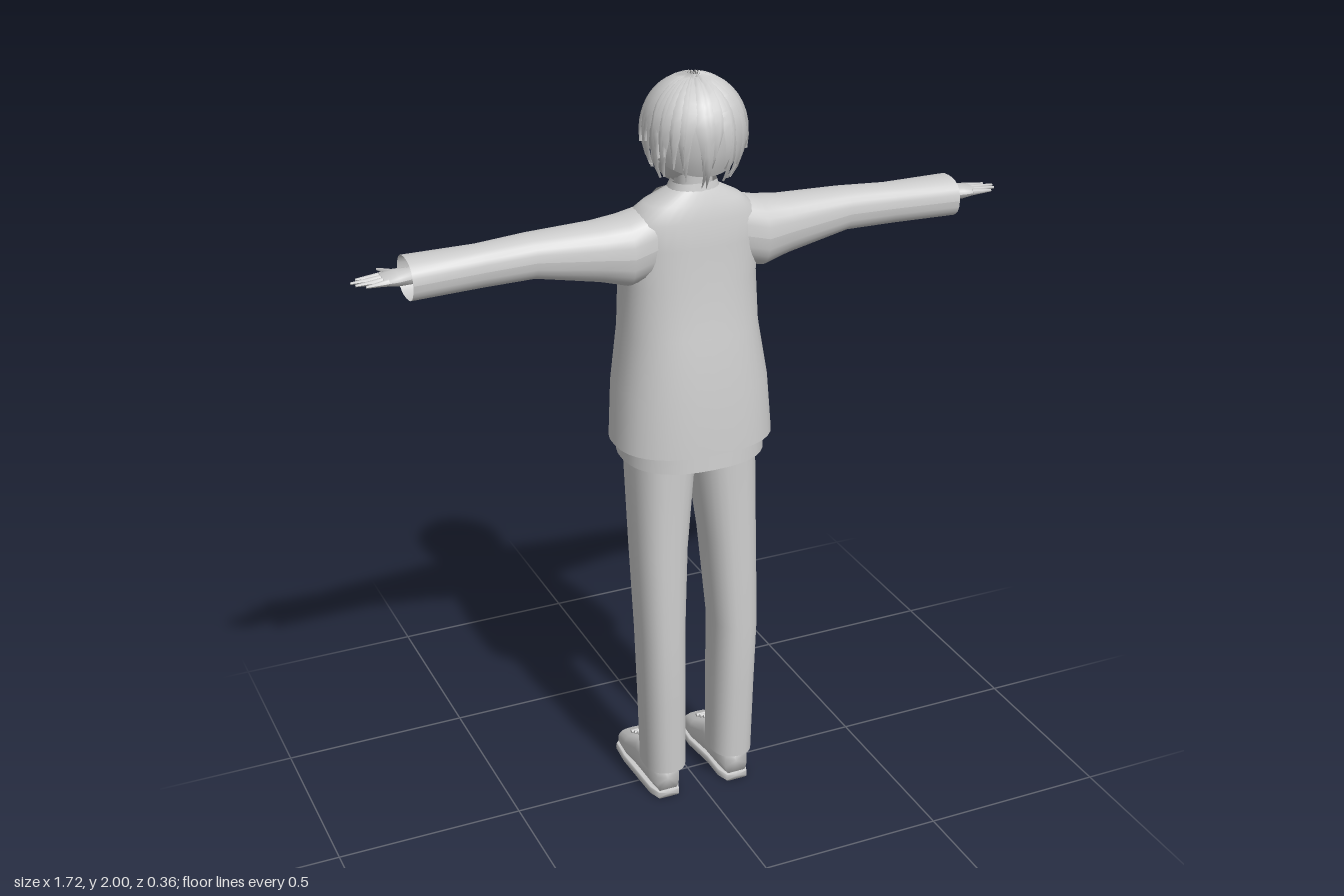
import * as THREE from 'three';

const grey = new THREE.MeshStandardMaterial({ color: 0xcccccc, side: THREE.DoubleSide });
grey.name = 'plain grey';

// Surface from f(u, v) -> [x, y, z], with u and v in 0..1
function grid(f, nu, nv) {
  const pos = [], idx = [];
  for (let j = 0; j <= nv; j++) for (let i = 0; i <= nu; i++) pos.push(...f(i / nu, j / nv));
  for (let j = 0; j < nv; j++) for (let i = 0; i < nu; i++) {
    const a = j * (nu + 1) + i, b = a + nu + 1;
    idx.push(a, b, a + 1, b, b + 1, a + 1);
  }
  const g = new THREE.BufferGeometry();
  g.setAttribute('position', new THREE.Float32BufferAttribute(pos, 3));
  g.setIndex(idx);
  g.computeVertexNormals();
  return g;
}

// Linear lookup in rows whose first entry increases
function rowAt(rows, t) {
  let i = 0;
  while (i < rows.length - 2 && t > rows[i + 1][0]) i++;
  const k = THREE.MathUtils.clamp((t - rows[i][0]) / (rows[i + 1][0] - rows[i][0]), 0, 1);
  return rows[i].map((v, n) => v + (rows[i + 1][n] - v) * k);
}

const pw = (c, p) => Math.sign(c) * Math.abs(c) ** (2 / p);
const place = {
  y: (t, a, b) => [a, t, b], // rows [y, x0, x1, z0, z1]
  x: (t, a, b) => [t, b, a], // rows [x, z0, z1, y0, y1]
  z: (t, a, b) => [b, a, t], // rows [z, y0, y1, x0, x1]
};
// Rounded cross-sections lofted along an axis; caps close the ends by shrinking to a point
function loft(axis, rows, { n = 24, p = 2.4, caps = false } = {}) {
  const mid = r => [r[0], (r[1] + r[2]) / 2, (r[1] + r[2]) / 2, (r[3] + r[4]) / 2, (r[3] + r[4]) / 2];
  const all = caps ? [mid(rows[0]), ...rows, mid(rows.at(-1))] : rows;
  return grid((u, v) => {
    const r = all[Math.round(v * (all.length - 1))], th = u * Math.PI * 2;
    return place[axis](r[0],
      (r[1] + r[2]) / 2 + (r[2] - r[1]) / 2 * pw(Math.cos(th), p),
      (r[3] + r[4]) / 2 + (r[4] - r[3]) / 2 * pw(Math.sin(th), p));
  }, n, all.length - 1);
}

function mirrored(g) {
  const m = g.clone().scale(-1, 1, 1);
  if (m.index) {
    const a = m.index.array;
    for (let i = 0; i < a.length; i += 3) [a[i], a[i + 1]] = [a[i + 1], a[i]];
  }
  m.computeVertexNormals();
  return m;
}

// Tapered round spike between two points
function spike(a, b, r0, r1) {
  const A = new THREE.Vector3(...a), d = new THREE.Vector3(...b).sub(A);
  const g = new THREE.CylinderGeometry(r1, r0, d.length(), 7, 2);
  g.applyQuaternion(new THREE.Quaternion().setFromUnitVectors(new THREE.Vector3(0, 1, 0), d.clone().normalize()));
  return g.translate(...A.addScaledVector(d, 0.5).toArray());
}

const jacketRows = [
  [1.05, -0.21, 0.21, -0.145, 0.175], [1.2, -0.2, 0.2, -0.15, 0.165],
  [1.35, -0.178, 0.178, -0.147, 0.142], [1.48, -0.175, 0.175, -0.13, 0.12],
  [1.58, -0.182, 0.182, -0.1, 0.115], [1.645, -0.175, 0.175, -0.07, 0.105],
  [1.685, -0.125, 0.125, -0.045, 0.095], [1.72, -0.06, 0.06, -0.012, 0.08]];

// Depth of the jacket front at (x, y)
function chestZ(x, y) {
  const [, , rx, z0, z1] = rowAt(jacketRows, y);
  const s = Math.max(0, 1 - Math.abs(x / rx) ** 2.4) ** (1 / 2.4);
  return (z0 + z1) / 2 - (z1 - z0) / 2 * s;
}
// Thin cloth lying on the chest; rows [y, x0, x1]
const cloth = (rows, off) => grid((u, v) => {
  const y0 = rows[0][0], [y, a, b] = rowAt(rows, y0 + (rows.at(-1)[0] - y0) * v);
  const x = a + (b - a) * u;
  return [x, y, chestZ(x, y) - off];
}, 6, 24);

// Hair surface: th 0 is the back of the head, phi is measured from the crown
function hairPoint(th, phi, lift) {
  const c = Math.cos(phi), s = Math.sin(phi);
  return [(0.113 + lift) * s * Math.sin(th),
    1.872 + c * (c > 0 ? 0.117 + lift : 0.17),
    0.035 + (0.12 + lift) * s * Math.cos(th)];
}
const hairEnd = th => THREE.MathUtils.degToRad(113 + 15 * Math.cos(th));

export function createModel() {
  const model = new THREE.Group();
  const add = (name, g) => {
    const m = new THREE.Mesh(g, grey);
    m.name = name;
    model.add(m);
  };
  const pair = (name, g) => { add(name + 'Left', g); add(name + 'Right', mirrored(g)); };

  // Jacket and the shirt hem below it
  add('jacket', loft('y', jacketRows, { n: 36 }));
  add('shirtHem', loft('y', [[1.005, -0.188, 0.188, -0.143, 0.167], [1.1, -0.19, 0.19, -0.14, 0.16]], { n: 36 }));
  pair('jacketFront', cloth([[1.02, 0.035, 0.16], [1.2, 0.03, 0.12], [1.45, 0.03, 0.1], [1.6, 0.045, 0.08]], 0.004));
  pair('lapel', cloth([[1.4, 0.028, 0.032], [1.54, 0.035, 0.095], [1.55, 0.035, 0.08], [1.67, 0.035, 0.07]], 0.008));

  // Collar and tie
  add('collarBand', loft('y', [[1.685, -0.075, 0.075, -0.035, 0.088], [1.735, -0.058, 0.058, -0.01, 0.078]]));
  pair('collarPoint', cloth([[1.62, 0.04, 0.05], [1.66, 0.012, 0.075], [1.7, 0.005, 0.07]], 0.012));
  add('tie', cloth([[1.2, -0.002, 0.002], [1.24, -0.032, 0.032], [1.45, -0.022, 0.022], [1.63, -0.01, 0.01]], 0.012));
  add('tieKnot', loft('y', [[1.625, -0.012, 0.012, -0.1, -0.07], [1.665, -0.022, 0.022, -0.078, -0.04]], { n: 12, caps: true }));

  // Sleeves
  pair('sleeve', loft('x', [
    [0.12, -0.06, 0.095, 1.5, 1.675], [0.18, -0.068, 0.1, 1.485, 1.66], [0.25, -0.06, 0.09, 1.505, 1.652],
    [0.42, -0.043, 0.075, 1.54, 1.648], [0.55, -0.03, 0.075, 1.54, 1.642], [0.73, -0.045, 0.08, 1.535, 1.638]]));

  // Hands
  pair('palm', loft('x', [
    [0.66, 0.005, 0.045, 1.575, 1.61], [0.72, 0, 0.05, 1.575, 1.612],
    [0.755, -0.008, 0.062, 1.578, 1.612], [0.79, -0.005, 0.062, 1.584, 1.606]], { n: 14, caps: true }));
  for (let i = 0; i < 4; i++) {
    const z = 0.003 + i * 0.017;
    pair('finger' + (i + 1), spike([0.78, 1.596, z], [[0.845, 0.862, 0.855, 0.835][i], 1.594, z - 0.002 + i * 0.002], 0.009, 0.003));
  }
  pair('thumb', spike([0.73, 1.59, 0.01], [0.775, 1.588, -0.062], 0.013, 0.003));

  // Trousers
  pair('trouserLeg', loft('y', [
    [0.09, 0.042, 0.155, -0.02, 0.125], [0.3, 0.042, 0.16, -0.025, 0.13], [0.5, 0.044, 0.166, -0.03, 0.135],
    [0.75, 0.028, 0.169, -0.063, 0.122], [1.0, 0, 0.17, -0.1, 0.118], [1.1, 0, 0.17, -0.11, 0.115]]));

  // Shoes
  pair('shoe', loft('z', [
    [-0.182, 0.012, 0.045, 0.075, 0.125], [-0.16, 0.012, 0.066, 0.058, 0.142], [-0.1, 0.012, 0.088, 0.052, 0.148],
    [-0.03, 0.012, 0.128, 0.058, 0.146], [0.05, 0.012, 0.118, 0.062, 0.142], [0.1, 0.012, 0.1, 0.07, 0.135]],
    { n: 18, p: 2.8, caps: true }));
  pair('shoeSole', loft('z', [
    [-0.186, 0, 0.022, 0.07, 0.128], [-0.165, 0, 0.022, 0.053, 0.147], [-0.1, 0, 0.022, 0.048, 0.152],
    [0, 0, 0.022, 0.06, 0.148], [0.07, 0, 0.022, 0.06, 0.145], [0.105, 0, 0.022, 0.072, 0.133]],
    { n: 16, p: 8, caps: true }));
  for (let i = 0; i < 3; i++)
    pair('lace' + (i + 1), spike([0.075, 0.091 + i * 0.012, -0.105 + i * 0.024], [0.125, 0.091 + i * 0.012, -0.105 + i * 0.024], 0.005, 0.005));

  // Head
  add('neck', loft('y', [[1.66, -0.05, 0.05, -0.015, 0.078], [1.72, -0.045, 0.045, -0.008, 0.075], [1.79, -0.048, 0.048, -0.01, 0.08]]));
  add('head', loft('y', [
    [1.705, -0.018, 0.018, -0.082, -0.04], [1.72, -0.042, 0.042, -0.088, 0], [1.745, -0.066, 0.066, -0.086, 0.06],
    [1.79, -0.085, 0.085, -0.084, 0.11], [1.85, -0.095, 0.095, -0.08, 0.135], [1.92, -0.085, 0.085, -0.06, 0.12],
    [1.965, -0.04, 0.04, -0.01, 0.08]], { p: 2.1, caps: true }));
  add('nose', spike([0, 1.79, -0.075], [0, 1.772, -0.097], 0.01, 0.001));
  pair('ear', new THREE.SphereGeometry(1, 12, 8).scale(0.012, 0.028, 0.018).translate(0.095, 1.805, 0.025));

  // Hair cap, then two layers of pointed locks from the crown
  add('hairCap', grid((u, v) => hairPoint(u * Math.PI * 2, v * hairEnd(u * Math.PI * 2), 0), 36, 12));
  let seed = 7;
  const rnd = () => (seed = (seed * 16807) % 2147483647) / 2147483647;
  for (let layer = 0; layer < 2; layer++) for (let i = 0; i < 20; i++) {
    const th0 = (i + layer * 0.5) / 20 * Math.PI * 2 + (rnd() - 0.5) * 0.15;
    const end = hairEnd(th0) + 0.1 + rnd() * 0.2 - layer * 0.35;
    const twist = (rnd() - 0.5) * 0.5, flare = 0.004 + rnd() * 0.012, start = 0.08 + rnd() * 0.2;
    add('hairLock', grid((u, v) => {
      const side = u * 2 - 1, width = 0.24 * Math.min(1, (1 - v) * 1.8);
      return hairPoint(th0 + twist * v * v + side * width, start + (end - start) * v,
        0.001 + 0.009 * (1 - Math.abs(side)) + flare * v * v);
    }, 2, 10));
  }
  return model;
}
